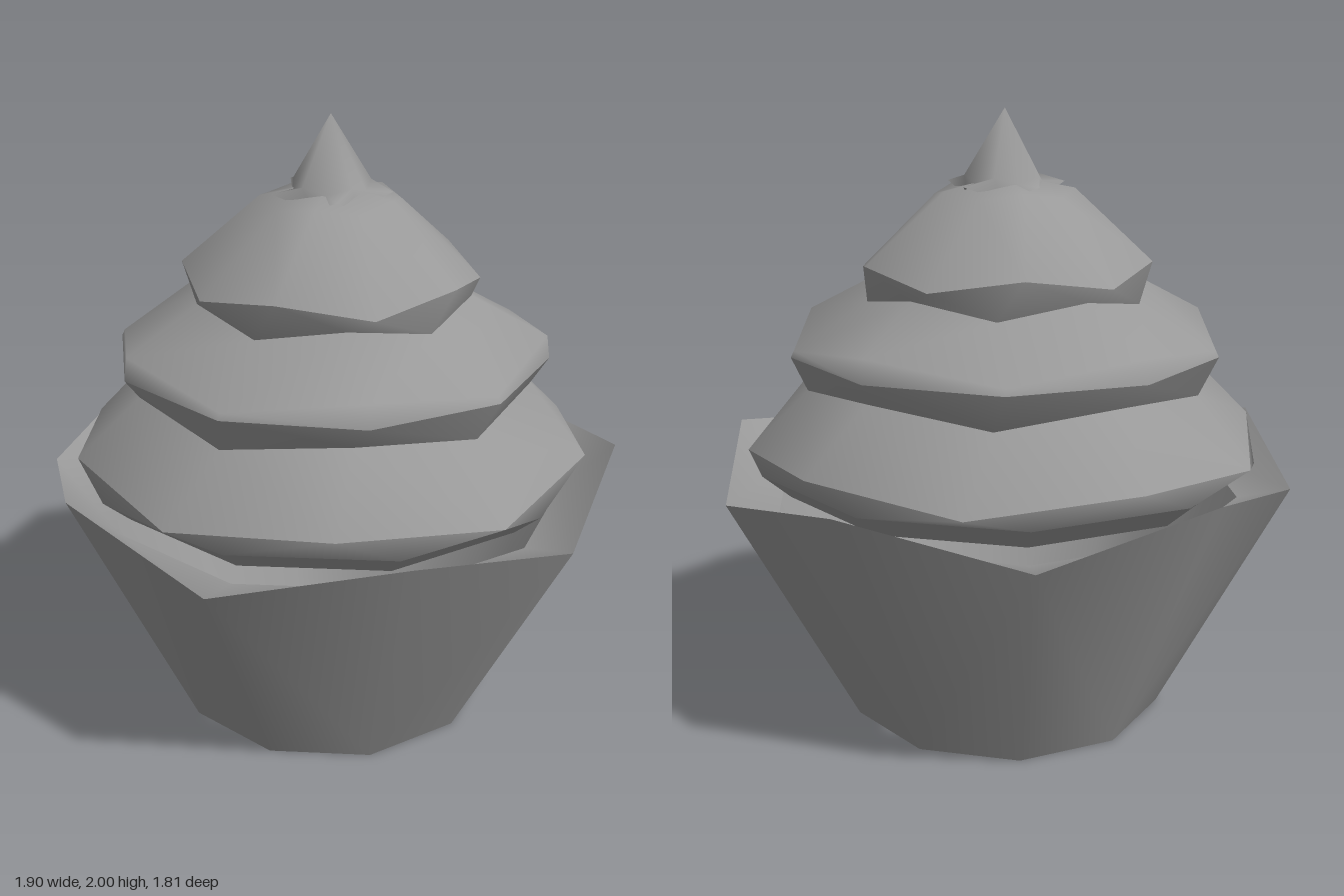
import * as THREE from 'three';
import { mergeVertices } from 'three/addons/utils/BufferGeometryUtils.js';

const SIDES = 10;

// One ten-sided ring: even and odd corners may differ in radius and height.
function ring(r, y, turn = 0, yOdd = y, rOdd = r) {
  return Array.from({ length: SIDES }, (_, k) => {
    const a = (k * 36 + turn) * Math.PI / 180;
    const rad = k % 2 ? rOdd : r;
    return [rad * Math.cos(a), k % 2 ? yOdd : y, rad * Math.sin(a)];
  });
}

const gap = (a, b) => Math.hypot(a[0] - b[0], a[1] - b[1], a[2] - b[2]);

// Smooth skin over consecutive rings, with an optional end point at the top.
function skin(rings, top) {
  const pos = [];
  const tri = (a, b, c) => pos.push(...a, ...b, ...c);
  for (let k = 0; k < SIDES; k++) {
    const n = (k + 1) % SIDES;
    for (let i = 0; i + 1 < rings.length; i++) {
      const lo = rings[i], hi = rings[i + 1];
      // split each quad along its shorter diagonal
      if (gap(lo[k], hi[n]) < gap(hi[k], lo[n])) {
        tri(lo[k], hi[k], hi[n]);
        tri(lo[k], hi[n], lo[n]);
      } else {
        tri(lo[k], hi[k], lo[n]);
        tri(hi[k], hi[n], lo[n]);
      }
    }
    const last = rings[rings.length - 1];
    if (top !== undefined) tri(last[k], [0, top, 0], last[n]);
  }
  const geo = new THREE.BufferGeometry();
  geo.setAttribute('position', new THREE.Float32BufferAttribute(pos, 3));
  const smooth = mergeVertices(geo, 1e-4);
  smooth.computeVertexNormals();
  return smooth;
}

export function createModel() {
  const group = new THREE.Group();
  group.name = 'cupcake';
  const add = (name, geometry) => {
    const material = new THREE.MeshStandardMaterial({ color: 0x999999, side: THREE.DoubleSide });
    const mesh = new THREE.Mesh(geometry, material);
    mesh.name = name;
    group.add(mesh);
  };

  // Paper cup, open below, with a zigzag rim and a lip sloping inwards
  const rim = ring(0.95, 0.8, 0, 0.915);
  add('paperCup', skin([ring(0.535, 0), rim]));
  add('cupLip', skin([rim, ring(0.78, 0.76)]));

  // Rings where the frosting has a sharp edge
  const base = ring(0.83, 0.88);
  const wide1 = ring(0.85, 0.915, 13, 0.96);
  const waist1 = ring(0.655, 1.12, 8, 1.165);
  const wide2 = ring(0.71, 1.24, 5);
  const waist2 = ring(0.455, 1.40, 8, 1.445);
  const wide3 = ring(0.48, 1.525, -2, 1.48);

  // Three tiers, each an undercut below a rounded top
  add('lowerUndercut', skin([ring(0.74, 0.80), base]));
  add('lowerEdge', skin([base, wide1]));
  add('lowerTier', skin([wide1, waist1]));
  add('middleUndercut', skin([waist1, wide2]));
  add('middleTier', skin([wide2, ring(0.70, 1.26, 5, 1.315), waist2]));
  add('upperUndercut', skin([waist2, wide3]));
  add('upperTier', skin([wide3, ring(0.225, 1.75, -10, 1.73)], 1.79));

  // Pointed peak with a twisted, five-lobed foot
  add('frostingPeak', skin([
    ring(0.20, 1.765, 45, 1.72, 0.12),
    ring(0.13, 1.79, 20, 1.77, 0.12),
  ], 2));
  return group;
}
